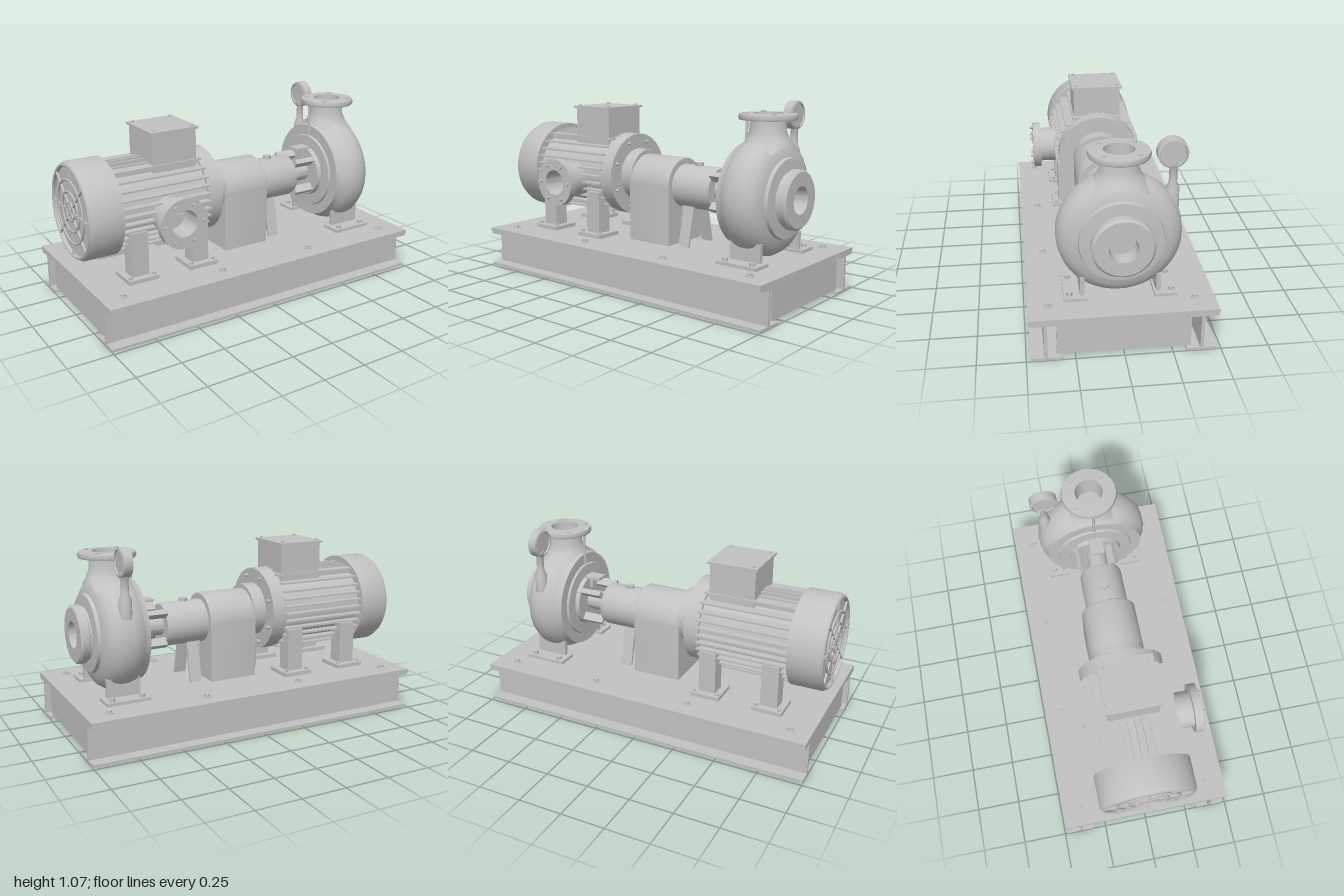
import * as THREE from 'three';
import { toCreasedNormals } from 'three/addons/utils/BufferGeometryUtils.js';

export function createModel() {
  const model = new THREE.Group();
  model.name = 'pumpSet';
  const grey = new THREE.MeshStandardMaterial({ color: 0xc2c2c2, side: THREE.DoubleSide });
  grey.name = 'machine grey';

  const add = (name, geo, x = 0, y = 0, z = 0, parent = model) => {
    const m = new THREE.Mesh(geo, grey);
    m.name = name;
    m.position.set(x, y, z);
    parent.add(m);
    return m;
  };
  // Box given by its limits on each axis
  const box = (name, x0, x1, y0, y1, z0, z1) =>
    add(name, new THREE.BoxGeometry(x1 - x0, y1 - y0, z1 - z0), (x0 + x1) / 2, (y0 + y1) / 2, (z0 + z1) / 2);
  // Solid of revolution; points are [radius, distance along axis]
  const turned = (points, axis = 'y', seg = 48, crease = 0.6) => {
    const g = new THREE.LatheGeometry(points.map(p => new THREE.Vector2(p[0], p[1])), seg);
    if (axis === 'x') g.rotateZ(-Math.PI / 2);
    if (axis === 'z') g.rotateX(Math.PI / 2);
    return toCreasedNormals(g, crease);
  };
  const rod = (name, r, a, b, axis, x, y, z, seg = 32) =>
    add(name, turned([[0, a], [r, a], [r, b], [0, b]], axis, seg), x, y, z);
  const MY = 0.607, PY = 0.575;

  // Base frame: deck plate, two I-beams, three cross channels
  box('deckPlate', -1, 1, 0.218, 0.24, -0.485, 0.485);
  for (const s of [-1, 1]) {
    const z = s * 0.4;
    box('beamBottomFlange', -1, 1, 0, 0.015, z - 0.08, z + 0.08);
    box('beamTopFlange', -1, 1, 0.203, 0.218, z - 0.08, z + 0.08);
    box('beamWeb', -1, 1, 0.015, 0.203, z - 0.009, z + 0.009);
  }
  for (const [x, d] of [[-0.97, 1], [0, 1], [0.97, -1]]) {
    box('crossWeb', x - 0.008, x + 0.008, 0.02, 0.205, -0.345, 0.345);
    const a = Math.min(x, x + d * 0.08), b = Math.max(x, x + d * 0.08);
    box('crossBottomFlange', a, b, 0.02, 0.034, -0.345, 0.345);
    box('crossTopFlange', a, b, 0.191, 0.205, -0.345, 0.345);
  }
  for (const x of [-0.88, -0.28, 0.31, 0.87]) for (const z of [-0.38, 0.38]) {
    rod('deckWasher', 0.025, 0, 0.005, 'y', x, 0.24, z, 16);
    rod('deckBolt', 0.015, 0, 0.016, 'y', x, 0.24, z, 6);
  }

  // Motor body with horizontal cooling fins
  rod('motorBody', 0.222, -0.81, -0.27, 'x', 0, MY, 0, 64);
  for (let i = -5; i <= 5; i++) {
    const dy = i * 0.043, w = Math.sqrt(0.262 ** 2 - dy * dy);
    for (const s of [-1, 1]) {
      const inner = Math.sqrt(Math.max(0, 0.21 ** 2 - dy * dy));
      box('coolingFin', -0.8, -0.27, MY + dy - 0.005, MY + dy + 0.005,
        s > 0 ? inner : -w, s > 0 ? w : -inner);
    }
  }
  for (const s of [-1, 1]) for (let i = -3; i <= 3; i++) {
    const z = i * 0.04, h = Math.sqrt(0.243 ** 2 - z * z), y = MY + s * (h - 0.02);
    box('verticalFin', -0.8, -0.27, y - 0.02, y + 0.02, z - 0.005, z + 0.005);
  }

  // Fan cowl, open at the back behind a round grille
  add('fanCowl', turned([[0, -0.975], [0.245, -0.975], [0.245, -0.99], [0.262, -0.99],
    [0.272, -0.97], [0.272, -0.8], [0, -0.8]], 'x', 64), 0, MY, 0);
  for (const r of [0.05, 0.11, 0.175, 0.252]) {
    add('grilleRing', new THREE.TorusGeometry(r, 0.007, 6, 48).rotateY(Math.PI / 2), -0.99, MY, 0);
  }
  for (let i = 0; i < 4; i++) {
    add('grilleSpoke', new THREE.BoxGeometry(0.01, 0.5, 0.012), -0.988, MY, 0).rotation.x = i * Math.PI / 4;
  }

  // Drive end flange with bolts and adapter
  rod('driveFlange', 0.243, -0.28, -0.19, 'x', 0, MY, 0, 64);
  for (let i = 0; i < 8; i++) {
    const a = (i + 0.5) * Math.PI / 4;
    rod('flangeBolt', 0.012, -0.19, -0.174, 'x', 0, MY + 0.205 * Math.sin(a), 0.205 * Math.cos(a), 6);
  }
  rod('adapter', 0.155, -0.19, -0.11, 'x', 0, MY, 0);

  // Terminal box
  box('terminalBox', -0.565, -0.3, 0.72, 0.997, -0.14, 0.14);
  box('terminalLid', -0.577, -0.288, 0.997, 1.01, -0.152, 0.152);
  for (const x of [-0.55, -0.315]) for (const z of [-0.125, 0.125])
    rod('lidScrew', 0.008, 0, 0.01, 'y', x, 1.01, z, 8);

  // Motor legs on foot plates
  for (const x of [-0.71, -0.34]) for (const s of [-1, 1]) {
    const z = s * 0.2;
    box('motorLeg', x - 0.05, x + 0.05, 0.25, 0.51, z - 0.045, z + 0.045);
    box('motorFoot', x - 0.088, x + 0.088, 0.24, 0.263, z - 0.085, z + 0.085);
    for (const d of [-0.07, 0.07])
      rod('footBolt', 0.011, 0, 0.014, 'y', x + d, 0.263, z + s * 0.06, 6);
  }

  // Bored flange: neck, disc and bolt circle around the local y axis
  const boredFlange = (name, r, neck, bore, h, depth) => turned([[neck, -depth], [neck, -h], [r, -h],
    [r, 0], [bore, 0], [bore, -depth * 0.7], [0, -depth * 0.7]]);
  const sidePort = new THREE.Group();
  sidePort.name = 'sidePort';
  sidePort.position.set(-0.515, 0.567, 0.39);
  sidePort.rotation.x = Math.PI / 2;
  model.add(sidePort);
  add('portFlange', boredFlange('port', 0.14, 0.105, 0.075, 0.045, 0.2), 0, 0, 0, sidePort);
  for (let i = 0; i < 6; i++) {
    const a = i * Math.PI / 3;
    add('portBolt', new THREE.CylinderGeometry(0.011, 0.011, 0.02, 6), 0.112 * Math.cos(a), 0.005, 0.112 * Math.sin(a), sidePort);
  }

  // Arched coupling guard
  const arch = new THREE.Shape();
  arch.moveTo(-0.155, 0.24);
  arch.lineTo(0.155, 0.24);
  arch.lineTo(0.155, 0.577);
  arch.absarc(0, 0.577, 0.155, 0, Math.PI, false);
  arch.closePath();
  const archGeo = new THREE.ExtrudeGeometry(arch, { depth: 0.27, bevelEnabled: true, bevelSize: 0.004,
    bevelThickness: 0.01, bevelSegments: 2, curveSegments: 24 }).rotateY(Math.PI / 2);
  add('couplingGuard', toCreasedNormals(archGeo, 0.6), -0.11, 0, 0);

  // Bearing housing, oil cap and splayed support
  add('bearingHousing', turned([[0, 0.16], [0.125, 0.16], [0.125, 0.4], [0.118, 0.42], [0.06, 0.42],
    [0.055, 0.58], [0, 0.58]], 'x'), 0, PY, 0);
  rod('oilCap', 0.024, 0.11, 0.142, 'y', 0.275, PY, 0, 12);
  for (const s of [-1, 1]) {
    const leg = add('housingLeg', new THREE.BoxGeometry(0.07, 0.27, 0.014), 0.25, 0.365, s * 0.085);
    leg.rotation.x = -s * 0.22;
  }
  box('housingWeb', 0.2, 0.212, 0.32, 0.5, -0.07, 0.07);

  // Lantern arms between housing and pump
  for (const [y, z] of [[0.085, 0.085], [0.085, -0.1], [-0.085, 0.085], [-0.085, -0.085]]) {
    const arm = add('lanternArm', new THREE.BoxGeometry(0.16, 0.05, 0.03), 0.5, PY + y, z);
    arm.rotation.x = -Math.atan2(y, z) + Math.PI / 2;
  }
  box('lanternTab', 0.47, 0.57, 0.72, 0.735, -0.04, 0.04);
  box('lanternRib', 0.53, 0.575, 0.66, 0.73, -0.015, 0.015);

  // Pump casing with stepped back cover and suction flange
  add('pumpCasing', turned([[0, 0.55], [0.15, 0.55], [0.155, 0.575], [0.22, 0.578], [0.225, 0.59],
    [0.285, 0.59], [0.29, 0.618], [0.3, 0.632], [0.314, 0.655], [0.324, 0.69], [0.325, 0.735],
    [0.318, 0.775], [0.295, 0.81], [0.26, 0.833], [0.22, 0.843], [0.215, 0.862], [0.15, 0.868],
    [0.147, 0.878], [0.162, 0.885], [0.162, 0.92], [0.15, 0.932], [0.075, 0.932], [0.07, 0.85], [0, 0.85]],
  'x', 64, 0.7), 0, PY, 0);

  // Discharge neck and flange
  const neck = turned([[0.2, 0.77], [0.16, 0.84], [0.118, 0.885], [0.1, 0.925], [0.096, 0.985],
    [0.155, 0.988], [0.16, 1.0], [0.155, 1.018], [0.08, 1.022], [0.072, 0.9], [0, 0.9]], 'y', 48, 0.7);
  const p = neck.attributes.position;
  for (let i = 0; i < p.count; i++) {
    // narrow the flare to the casing width
    if (p.getY(i) < 0.92) p.setX(i, THREE.MathUtils.clamp(p.getX(i), -0.105, 0.105));
  }
  add('dischargeNeck', neck, 0.722, 0, 0);
  for (let i = 0; i < 4; i++) {
    const a = (i + 0.5) * Math.PI / 2;
    rod('dischargeBolt', 0.012, 0, 0.008, 'y', 0.722 + 0.125 * Math.cos(a), 1.018, 0.125 * Math.sin(a), 8);
  }
  rod('drainPipe', 0.008, 0.74, 0.99, 'y', 0.588, 0, 0, 8);

  // Pump feet
  for (const s of [-1, 1]) {
    const z = s * 0.235;
    box('pumpFoot', 0.6, 0.85, 0.24, 0.258, z - 0.06, z + 0.06);
    box('pumpLeg', 0.63, 0.82, 0.25, 0.36, s * 0.198 - 0.012, s * 0.198 + 0.012);
    for (const x of [0.64, 0.81]) rod('pumpFootBolt', 0.016, 0, 0.018, 'y', x, 0.258, s * 0.265, 6);
  }

  // Pressure gauge on its stem
  add('gaugeStem', turned([[0, 0.7], [0.036, 0.7], [0.034, 0.8], [0.022, 0.83], [0.02, 0.91], [0.027, 0.925],
    [0.027, 0.945], [0, 0.945]], 'y', 16), 0.725, 0, -0.272);
  add('gaugeDial', turned([[0, -0.018], [0.066, -0.018], [0.068, -0.028], [0.079, -0.024], [0.079, 0.024],
    [0.068, 0.028], [0.066, 0.02], [0, 0.02]], 'x', 24), 0.725, 0.995, -0.265);

  return model;
}
